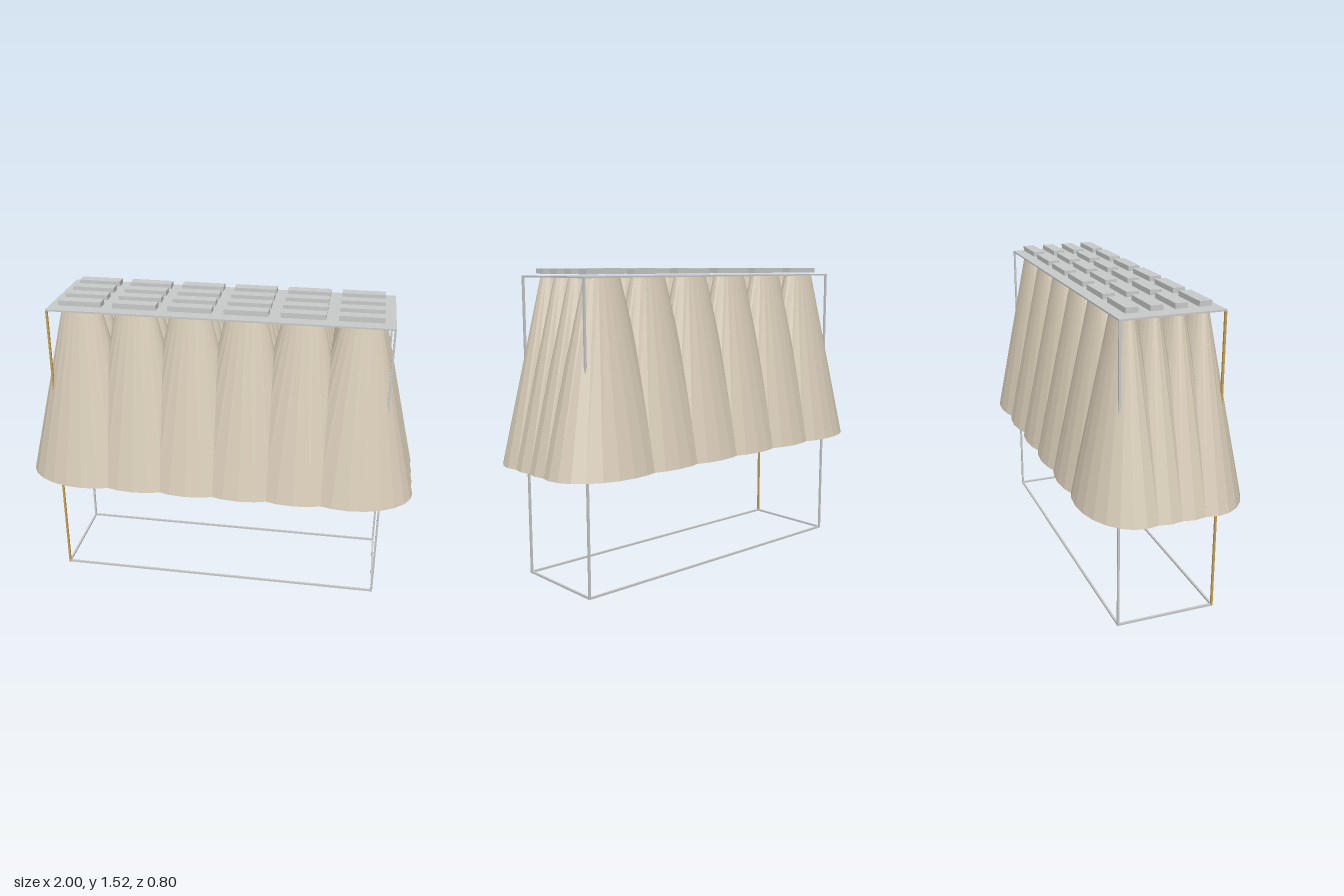
import * as THREE from 'three';

const material = (name, color, extra = {}) => {
  const m = new THREE.MeshStandardMaterial({ color, ...extra });
  m.name = name;
  return m;
};

export function createModel() {
  const model = new THREE.Group();
  model.name = 'hangingConeRack';

  const fabric = material('beige fabric', 0xd8ccb8, { side: THREE.DoubleSide, flatShading: true });
  const grey = material('light grey', 0xc8c9c9);
  const gold = material('ochre', 0xc8a050);

  const add = (name, geometry, mat, x, y, z) => {
    const mesh = new THREE.Mesh(geometry, mat);
    mesh.name = name;
    mesh.position.set(x, y, z);
    model.add(mesh);
    return mesh;
  };
  const box = (name, w, h, d, x, y, z, mat = grey) =>
    add(name, new THREE.BoxGeometry(w, h, d), mat, x, y, z);

  // Oval open cone: cross-section narrows from the hem to the top
  const bottomY = 0.58, topY = 1.478;
  const cone = new THREE.CylinderGeometry(1, 1, topY - bottomY, 24, 1, true);
  const p = cone.attributes.position;
  for (let i = 0; i < p.count; i++) {
    const top = p.getY(i) > 0;
    p.setX(i, p.getX(i) * (top ? 0.1 : 0.317));
    p.setZ(i, p.getZ(i) * (top ? 0.047 : 0.225));
  }
  cone.computeVertexNormals();

  // Six by four cones, each with a block above the top plate
  const block = new THREE.BoxGeometry(0.215, 0.025, 0.06);
  for (let col = 0; col < 6; col++) {
    for (let row = 0; row < 4; row++) {
      const x = (col - 2.5) * 0.273, z = (row - 1.5) * 0.115;
      add('cone', cone, fabric, x, (bottomY + topY) / 2, z);
      add('topBlock', block, grey, x, 1.505, z);
    }
  }

  // Top plate
  box('topPlate', 1.685, 0.008, 0.5, 0, 1.48, 0);

  // Wire frame: base bars and corner posts, one post in a second colour
  const t = 0.01, fx = 0.8375, fz = 0.245;
  for (const s of [-1, 1]) {
    box('baseLongBar', 2 * fx - t, t, t, 0, t / 2, s * fz);
    box('baseShortBar', t, t, 2 * fz - t, s * fx, t / 2, 0);
    for (const u of [-1, 1]) {
      const painted = s < 0 && u > 0;
      box(painted ? 'paintedPost' : 'post', t, 1.476, t, s * fx, 0.738, u * fz, painted ? gold : grey);
    }
  }
  return model;
}
